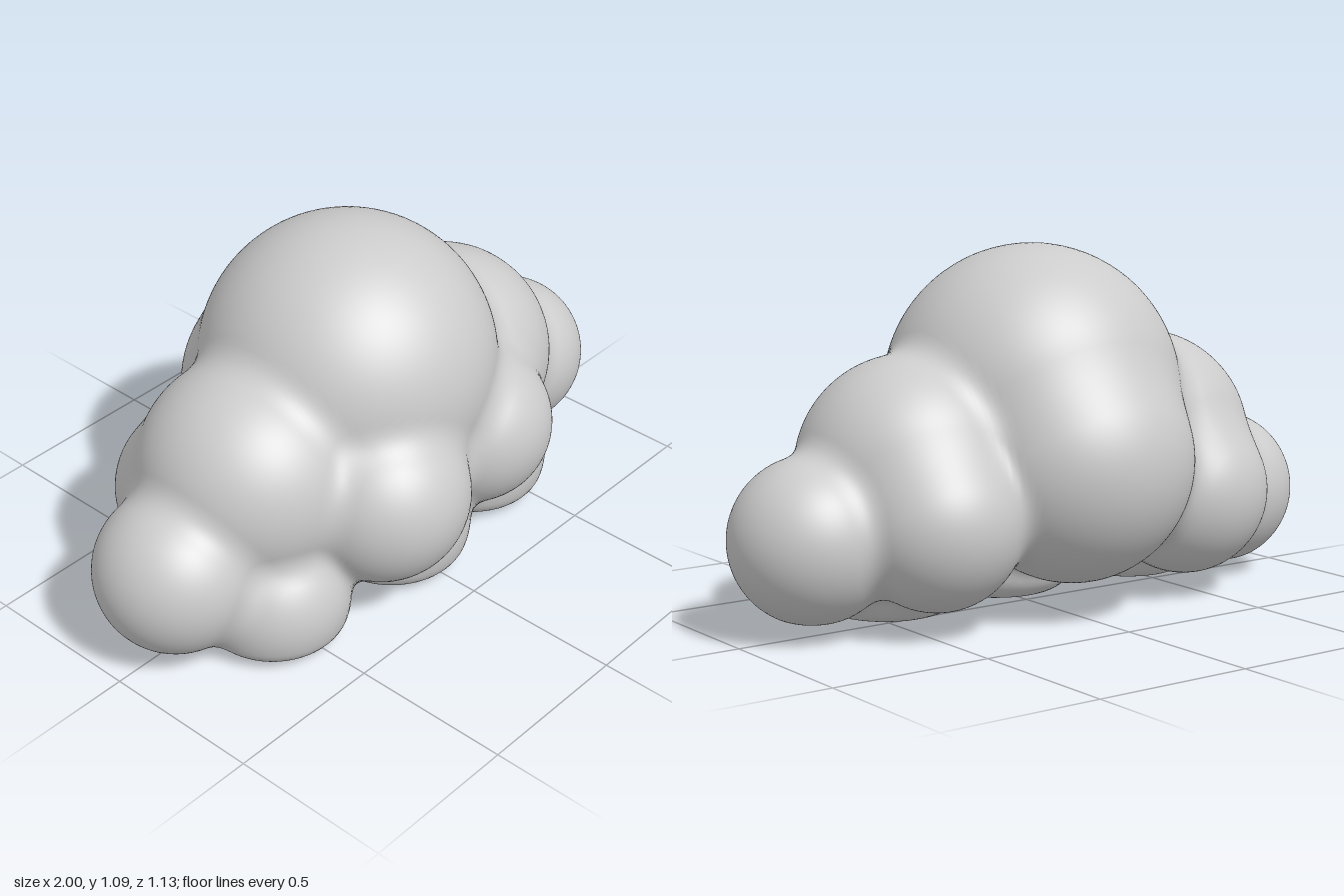
import * as THREE from 'three';

// Puffs of the cloud: x, y, z, radius
const PUFFS = [
  [-0.02, 0.64, 0, 0.45],        // crown
  [-0.02, 0.46, -0.2, 0.365],    // back
  [-0.44, 0.46, 0, 0.34],        // shoulders
  [0.42, 0.45, 0, 0.34],
  [-0.47, 0.32, -0.18, 0.26],    // back shoulders
  [0.45, 0.32, -0.18, 0.255],
  [-0.2, 0.39, 0.295, 0.267],    // front pair
  [0.24, 0.4, 0.27, 0.25],
  [-0.755, 0.27, 0, 0.245],      // ends
  [0.755, 0.28, 0, 0.245],
  [-0.52, 0.13, 0.16, 0.23],     // underside
  [-0.02, 0.14, 0.18, 0.245],
  [0.42, 0.13, 0.13, 0.24],
];

function smoothMin(a, b, k) {
  const h = Math.max(k - Math.abs(a - b), 0) / k;
  return Math.min(a, b) - h * h * k / 4;
}

// Signed distance to the blended puffs, cut flat at the ground
function cloudDistance(x, y, z) {
  let d = 10;
  for (const [cx, cy, cz, r] of PUFFS) {
    d = smoothMin(d, Math.hypot(x - cx, y - cy, z - cz) - r, 0.06);
  }
  return -smoothMin(-d, y, 0.07);
}

export function createModel() {
  const group = new THREE.Group();
  group.name = 'cloud';

  // Sphere with its poles on the x axis, shrink-wrapped onto the puffs
  const geometry = new THREE.SphereGeometry(1, 192, 224).rotateZ(Math.PI / 2);
  const position = geometry.attributes.position;
  const normal = geometry.attributes.normal;
  const dir = new THREE.Vector3();
  const start = new THREE.Vector3();
  const p = new THREE.Vector3();
  const e = 0.002;

  for (let i = 0; i < position.count; i++) {
    dir.fromBufferAttribute(position, i).normalize();
    start.set(dir.x * 0.7, 0.33, 0);
    // March inward from outside until the surface is met
    let t = 1.2;
    for (let step = 0; step < 90; step++) {
      p.copy(start).addScaledVector(dir, t);
      const d = cloudDistance(p.x, p.y, p.z);
      if (d < 0.0003) break;
      t -= d;
    }
    position.setXYZ(i, p.x, p.y, p.z);
    // Smooth normal from the distance gradient
    dir.set(
      cloudDistance(p.x + e, p.y, p.z) - cloudDistance(p.x - e, p.y, p.z),
      cloudDistance(p.x, p.y + e, p.z) - cloudDistance(p.x, p.y - e, p.z),
      cloudDistance(p.x, p.y, p.z + e) - cloudDistance(p.x, p.y, p.z - e),
    ).normalize();
    normal.setXYZ(i, dir.x, dir.y, dir.z);
  }

  const body = new THREE.Mesh(geometry, new THREE.MeshStandardMaterial({ color: 0xcccccc }));
  body.name = 'cloudBody';
  group.add(body);
  return group;
}
